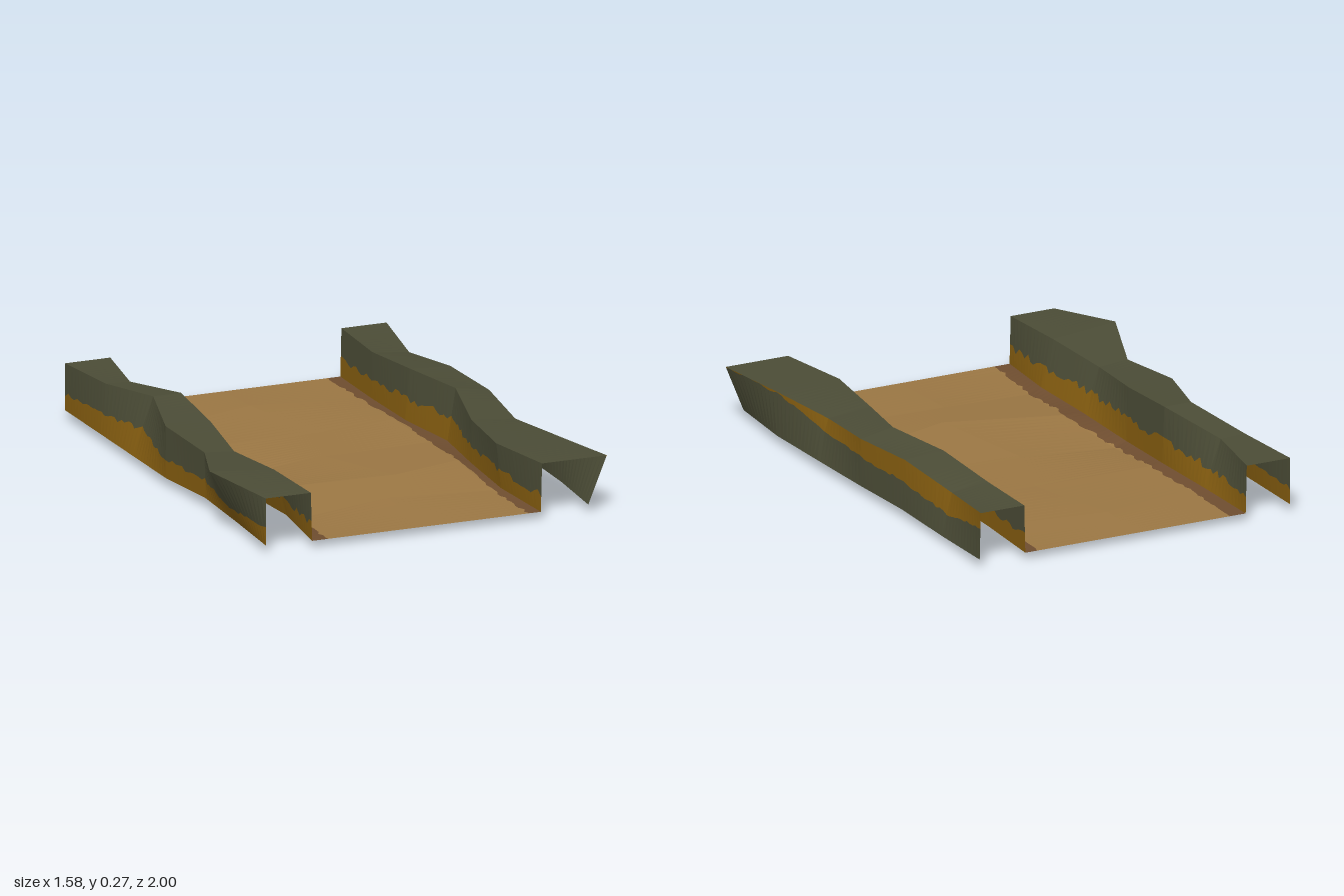
import * as THREE from 'three';

const STEPS = 72; // samples along the length
const ROWS = [-1, -0.67, -0.33, 0, 0.33, 0.67, 1];

let seed = 7;
const rand = () => {
  seed = (seed * 16807) % 2147483647;
  return seed / 2147483647;
};

// linear interpolation through evenly spaced values, t in 0..1
function sample(values, t) {
  const s = t * (values.length - 1);
  const i = Math.min(Math.floor(s), values.length - 2);
  return values[i] + (values[i + 1] - values[i]) * (s - i);
}

// lengthwise edge line from x, y (and optional z) values at each cross-section
function line(xs, ys, zs = ROWS) {
  return Array.from({ length: STEPS + 1 }, (_, i) => {
    const t = i / STEPS;
    return new THREE.Vector3(sample(xs, t), sample(ys, t), sample(zs, t));
  });
}

// ragged border between two edge lines
function border(a, b, fractions, jitter) {
  return a.map((p, i) => {
    const f = sample(fractions, i / STEPS) + (rand() - 0.5) * jitter;
    return p.clone().lerp(b[i], THREE.MathUtils.clamp(f, 0, 1));
  });
}

// surface between two edge lines, ordered from -x round to +x
function strip(name, material, a, b) {
  const pos = [];
  const put = (...pts) => pts.forEach((p) => pos.push(p.x, p.y, p.z));
  for (let i = 0; i < STEPS; i++) {
    put(a[i], a[i + 1], b[i]);
    put(b[i], a[i + 1], b[i + 1]);
  }
  const geo = new THREE.BufferGeometry();
  geo.setAttribute('position', new THREE.Float32BufferAttribute(pos, 3));
  geo.computeVertexNormals();
  const mesh = new THREE.Mesh(geo, material);
  mesh.name = name;
  return mesh;
}

function flat(name, color) {
  const m = new THREE.MeshStandardMaterial({ color, flatShading: true, side: THREE.DoubleSide });
  m.name = name;
  return m;
}

export function createModel() {
  const grass = flat('darkOlive', 0x4b4c36);
  const ochre = flat('ochre', 0x855d10);
  const sand = flat('sand', 0x9a7643);
  const soil = flat('brownSoil', 0x6e4d2f);

  // left profile edges (on -x), from outside to the floor
  const aFoot = line([-0.69, -0.69, -0.69, -0.69, -0.66, -0.67, -0.69], [0.035, 0.035, 0.035, 0.035, 0.04, 0.035, 0.035]);
  const aOuter = line([-0.69, -0.66, -0.6, -0.69, -0.665, -0.79, -0.69], [0.23, 0.235, 0.27, 0.25, 0.23, 0.262, 0.23]);
  const aInner = line([-0.495, -0.553, -0.48, -0.495, -0.537, -0.51, -0.495], [0.23, 0.23, 0.27, 0.245, 0.22, 0.235, 0.23]);
  const aFloor = line([-0.49, -0.48, -0.47, -0.485, -0.47, -0.457, -0.49], [0.03, 0.035, 0.035, 0.02, 0.035, 0.04, 0.03]);

  // floor lines
  const floorA = line([-0.42, -0.42, -0.41, -0.43, -0.37, -0.4, -0.42], [0.03, 0.03, 0.03, 0, 0.045, 0.02, 0.03]);
  const floorMid = line([0, 0, 0.1, 0, 0.12, 0, 0], [0.03, 0.04, 0.032, 0.04, 0.068, 0.045, 0.03], [-1, -0.75, -0.33, 0, 0.42, 0.63, 1]);
  const floorB = line([0.44, 0.44, 0.44, 0.45, 0.43, 0.43, 0.44], [0.03, 0.035, 0.05, 0.045, 0.065, 0.035, 0.03]);

  // right profile edges (on +x), from the floor to outside
  const bFloor = line([0.5, 0.49, 0.49, 0.53, 0.49, 0.47, 0.5], [0.03, 0.035, 0.04, 0.04, 0.045, 0.04, 0.03]);
  const bInner = line([0.505, 0.495, 0.51, 0.565, 0.49, 0.45, 0.505], [0.23, 0.225, 0.25, 0.255, 0.225, 0.228, 0.23]);
  const bOuter = line([0.7, 0.655, 0.685, 0.71, 0.68, 0.73, 0.785], [0.23, 0.205, 0.24, 0.23, 0.207, 0.22, 0.23]);
  const bFoot = line([0.705, 0.7, 0.7, 0.715, 0.73, 0.73, 0.705], [0.035, 0.03, 0.035, 0.035, 0.04, 0.035, 0.035]);

  // ragged colour borders
  const aOuterSplit = border(aFoot, aOuter, [0.35, 0.4, 0.45, 0.35, 0.4, 0.3, 0.35], 0.1);
  const aInnerSplit = border(aFloor, aInner, [0.35, 0.4, 0.4, 0.45, 0.45, 0.4, 0.35], 0.16);
  const bInnerSplit = border(bFloor, bInner, [0.35, 0.4, 0.4, 0.45, 0.4, 0.4, 0.35], 0.16);
  const bOuterSplit = border(bFoot, bOuter, [0.68, 0.5, 0.56, 0.62, 0.68, 0.96, 1], 0.06);
  const aSoil = border(aFloor, floorA, [1, 0.9, 0.95, 0.9, 0.85, 0.95, 0.95], 0.35);
  const bSoil = border(bFloor, floorB, [0.9, 0.9, 0.9, 0.9, 0.9, 0.9, 0.9], 0.35);

  const leftBank = new THREE.Group();
  leftBank.name = 'bankAtMinusX';
  leftBank.add(
    strip('outerWallLower', ochre, aFoot, aOuterSplit),
    strip('outerWallUpper', grass, aOuterSplit, aOuter),
    strip('bankTop', grass, aOuter, aInner),
    strip('innerWallUpper', grass, aInner, aInnerSplit),
    strip('innerWallLower', ochre, aInnerSplit, aFloor),
  );

  const floor = new THREE.Group();
  floor.name = 'pathFloor';
  floor.add(
    strip('soilEdge', soil, aFloor, aSoil),
    strip('sandInfill', sand, aSoil, floorA),
    strip('sandHalf', sand, floorA, floorMid),
    strip('sandHalf', sand, floorMid, floorB),
    strip('sandInfill', sand, floorB, bSoil),
    strip('soilEdge', soil, bSoil, bFloor),
  );

  const rightBank = new THREE.Group();
  rightBank.name = 'bankAtPlusX';
  rightBank.add(
    strip('innerWallLower', ochre, bFloor, bInnerSplit),
    strip('innerWallUpper', grass, bInnerSplit, bInner),
    strip('bankTop', grass, bInner, bOuter),
    strip('outerWallUpper', ochre, bOuter, bOuterSplit),
    strip('outerWallLower', grass, bOuterSplit, bFoot),
  );

  const model = new THREE.Group();
  model.name = 'bankedPath';
  model.add(leftBank, floor, rightBank);
  return model;
}
